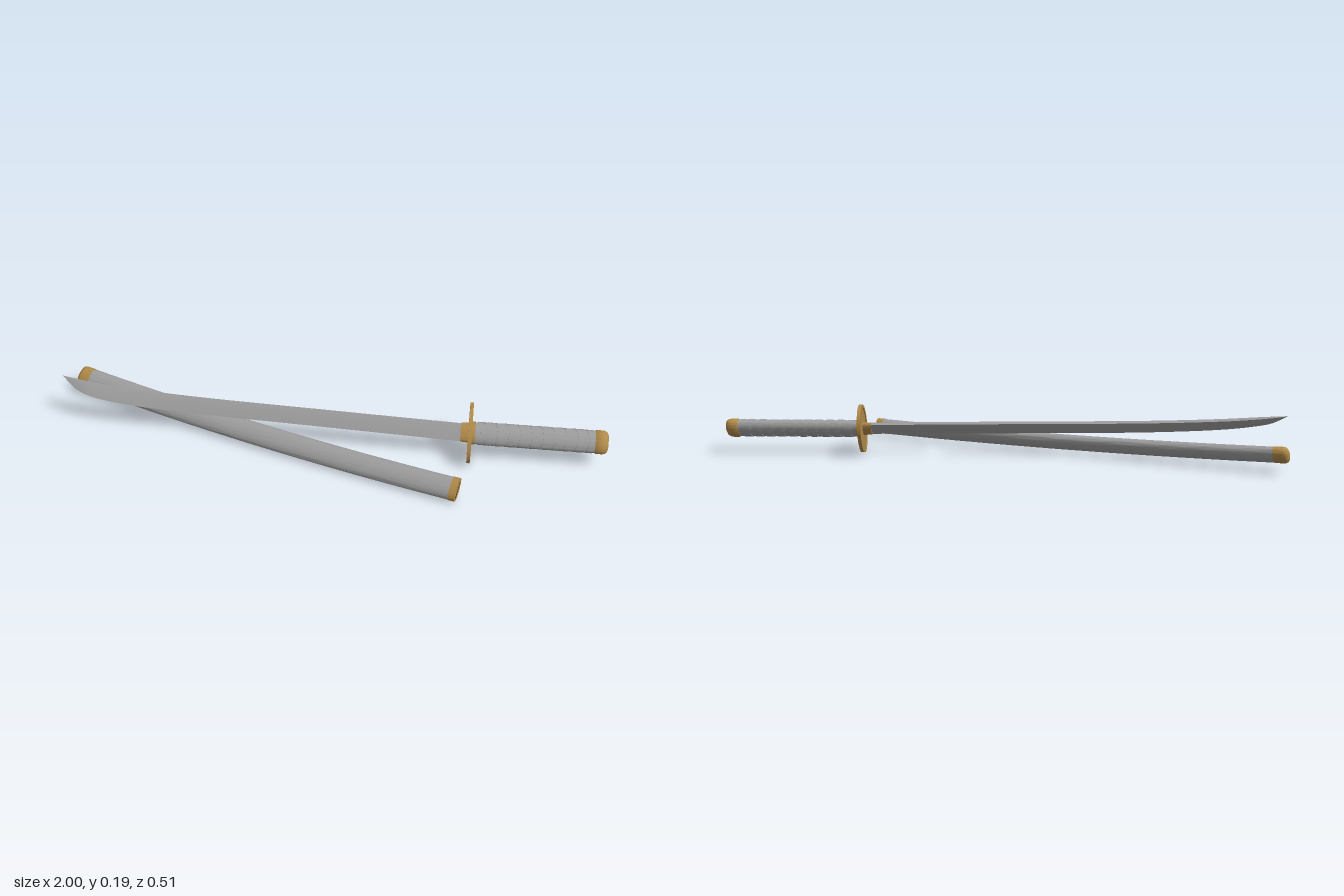
import * as THREE from 'three';
import { toCreasedNormals } from 'three/addons/utils/BufferGeometryUtils.js';

const V = (x, y, z) => new THREE.Vector3(x, y, z);
const SWORD_TILT = THREE.MathUtils.degToRad(46);
const SHEATH_TILT = THREE.MathUtils.degToRad(38);

// Skin a list of closed rings (counter-clockwise about the travel direction) and cap both ends
function loft(rings, crease = 0.6) {
  const n = rings[0].length, pos = [], idx = [];
  const put = p => pos.push(p.x, p.y, p.z) / 3 - 1;
  rings.forEach(r => r.forEach(put));
  for (let i = 0; i < rings.length - 1; i++) {
    for (let j = 0; j < n; j++) {
      const a = i * n + j, b = i * n + (j + 1) % n;
      idx.push(a, b, a + n, b, b + n, a + n);
    }
  }
  for (const end of [0, rings.length - 1]) {
    const ring = rings[end];
    const centre = put(ring.reduce((s, p) => s.add(p), V(0, 0, 0)).divideScalar(n));
    for (let j = 0; j < n; j++) {
      const a = end * n + j, b = end * n + (j + 1) % n;
      if (end) idx.push(centre, a, b);
      else idx.push(centre, b, a);
    }
  }
  const g = new THREE.BufferGeometry();
  g.setAttribute('position', new THREE.Float32BufferAttribute(pos, 3));
  g.setIndex(idx);
  return toCreasedNormals(g, crease);
}

// Point on the tilted elliptical section of a path
function sectionPoint(path, t, a, b, phi, tilt) {
  const T = path.getTangent(THREE.MathUtils.clamp(t, 0, 1));
  const d = V(0, Math.sin(tilt), -Math.cos(tilt));
  d.addScaledVector(T, -d.dot(T)).normalize();
  const n = T.clone().cross(d);
  return path.getPoint(t).addScaledVector(d, a * Math.cos(phi)).addScaledVector(n, b * Math.sin(phi));
}

// Elliptical tube: each station is [t, half height, half thickness]
function tube(path, stations, tilt, sides = 40) {
  return loft(stations.map(([t, a, b]) => Array.from({ length: sides }, (_, j) =>
    sectionPoint(path, t, a, b, j / sides * Math.PI * 2, tilt))));
}

export function createModel() {
  const steel = new THREE.MeshStandardMaterial({ name: 'grey', color: 0x9e9e9e });
  const gold = new THREE.MeshStandardMaterial({ name: 'gold', color: 0xb08a4a });
  const dark = new THREE.MeshStandardMaterial({ name: 'dark slot', color: 0x4a3a22 });

  const model = new THREE.Group();
  const sword = new THREE.Group();
  const scabbard = new THREE.Group();
  sword.name = 'sword';
  scabbard.name = 'scabbard';
  model.add(sword, scabbard);
  const add = (group, name, geometry, material) => {
    const mesh = new THREE.Mesh(geometry, material);
    mesh.name = name;
    group.add(mesh);
  };

  // Blade: x, spine y, spine z, edge y, edge z
  const rows = [
    [0.50, 0.118, -0.060, 0.070, -0.016],
    [0.00, 0.128, -0.059, 0.080, -0.019],
    [-0.53, 0.139, -0.060, 0.092, -0.021],
    [-0.79, 0.151, -0.065, 0.107, -0.024],
    [-0.90, 0.160, -0.070, 0.123, -0.034],
    [-0.95, 0.165, -0.074, 0.138, -0.050],
    [-1.00, 0.171, -0.078, 0.1705, -0.0775],
  ];
  const spine = new THREE.CatmullRomCurve3(rows.map(r => V(r[0], r[1], r[2])));
  const edge = new THREE.CatmullRomCurve3(rows.map(r => V(r[0], r[3], r[4])));
  const side = V(0, -Math.cos(SWORD_TILT), -Math.sin(SWORD_TILT));
  const bladeRings = [];
  for (let i = 0; i <= 48; i++) {
    const s = spine.getPoint(i / 48), e = edge.getPoint(i / 48);
    const half = 0.0065 * Math.min(1, s.distanceTo(e) / 0.06);
    const ridge = s.clone().lerp(e, 0.35);
    bladeRings.push([
      s.clone().addScaledVector(side, half * 0.85), ridge.clone().addScaledVector(side, half), e,
      ridge.clone().addScaledVector(side, -half), s.clone().addScaledVector(side, -half * 0.85),
    ]);
  }
  add(sword, 'blade', loft(bladeRings, 0.3), steel);

  // Hilt parts share one straight axis, placed by x
  const axis = new THREE.LineCurve3(V(0.5, 0.095, -0.039), V(1, 0.094, -0.05));
  const at = x => (x - 0.5) / 0.5;
  const hilt = (name, stations, material) =>
    add(sword, name, tube(axis, stations.map(([x, a, b]) => [at(x), a, b]), SWORD_TILT), material);

  hilt('bladeCollar', [[0.475, 0.034, 0.012], [0.505, 0.036, 0.015]], gold);
  // Guard plate with a raised rim on both faces
  const A = 0.11, B = 0.074, rim = 0.011;
  hilt('guard', [
    [0.506, A - rim, B - rim], [0.503, A - rim, B - rim], [0.503, A, B],
    [0.515, A, B], [0.515, A - rim, B - rim], [0.512, A - rim, B - rim],
  ], gold);
  hilt('hiltCollar', [[0.51, 0.042, 0.027], [0.527, 0.042, 0.027]], gold);
  hilt('handle', [[0.525, 0.039, 0.023], [0.96, 0.040, 0.024]], steel);
  hilt('pommel', [
    [0.953, 0.041, 0.026], [0.956, 0.043, 0.028], [0.978, 0.043, 0.028], [0.988, 0.041, 0.026],
    [0.995, 0.036, 0.022], [0.999, 0.027, 0.015], [1.0, 0.014, 0.007],
  ], gold);

  // Two crossing wraps of cord around the handle
  for (const dir of [1, -1]) {
    const turns = 10, steps = turns * 28, w = 0.011, rings = [];
    const lift = dir > 0 ? 0.0022 : 0.0028;
    for (let i = 0; i <= steps; i++) {
      const x = 0.538 + 0.404 * i / steps;
      const phi = Math.PI / 2 + dir * turns * Math.PI * 2 * i / steps;
      const p = (dx, up) => sectionPoint(axis, at(x + dx), 0.0392 + up, 0.0232 + up, phi, SWORD_TILT);
      const ring = [p(w, -0.001), p(w, lift), p(-w, lift), p(-w, -0.001)];
      rings.push(dir > 0 ? ring : ring.reverse());
    }
    add(sword, dir > 0 ? 'handleWrapA' : 'handleWrapB', loft(rings), steel);
  }

  // Scabbard: gently bowed, gold at both ends
  const bow = new THREE.QuadraticBezierCurve3(
    V(-0.987, 0.068, -0.225), V(-0.25, 0.0285, 0.0225), V(0.484, 0.043, 0.221));
  const body = Array.from({ length: 33 }, (_, i) => [0.028 + 0.957 * i / 32, 0.0415, 0.0235]);
  add(scabbard, 'sheath', tube(bow, body, SHEATH_TILT), steel);
  add(scabbard, 'endCap', tube(bow, [
    [0, 0.030, 0.014], [0.002, 0.036, 0.019], [0.006, 0.041, 0.0235],
    [0.012, 0.0425, 0.0245], [0.032, 0.0425, 0.0245],
  ], SHEATH_TILT), gold);
  add(scabbard, 'mouthBand', tube(bow, [[0.984, 0.043, 0.0245], [1, 0.043, 0.0245]], SHEATH_TILT), gold);

  // Slot for the blade, a thin wedge on the mouth
  const tip = bow.getPoint(1), out = bow.getTangent(1);
  const slotRing = depth => [[0.031, 0.0015], [-0.031, 0.0035], [-0.031, -0.0035], [0.031, -0.0015]].map(([u, v]) => {
    const up = sectionPoint(bow, 1, u, 0, 0, SHEATH_TILT);
    const across = sectionPoint(bow, 1, 0, v, Math.PI / 2, SHEATH_TILT).sub(tip);
    return up.add(across).addScaledVector(out, depth);
  });
  add(scabbard, 'mouthSlot', loft([slotRing(-0.001), slotRing(0.001)]), dark);

  return model;
}
